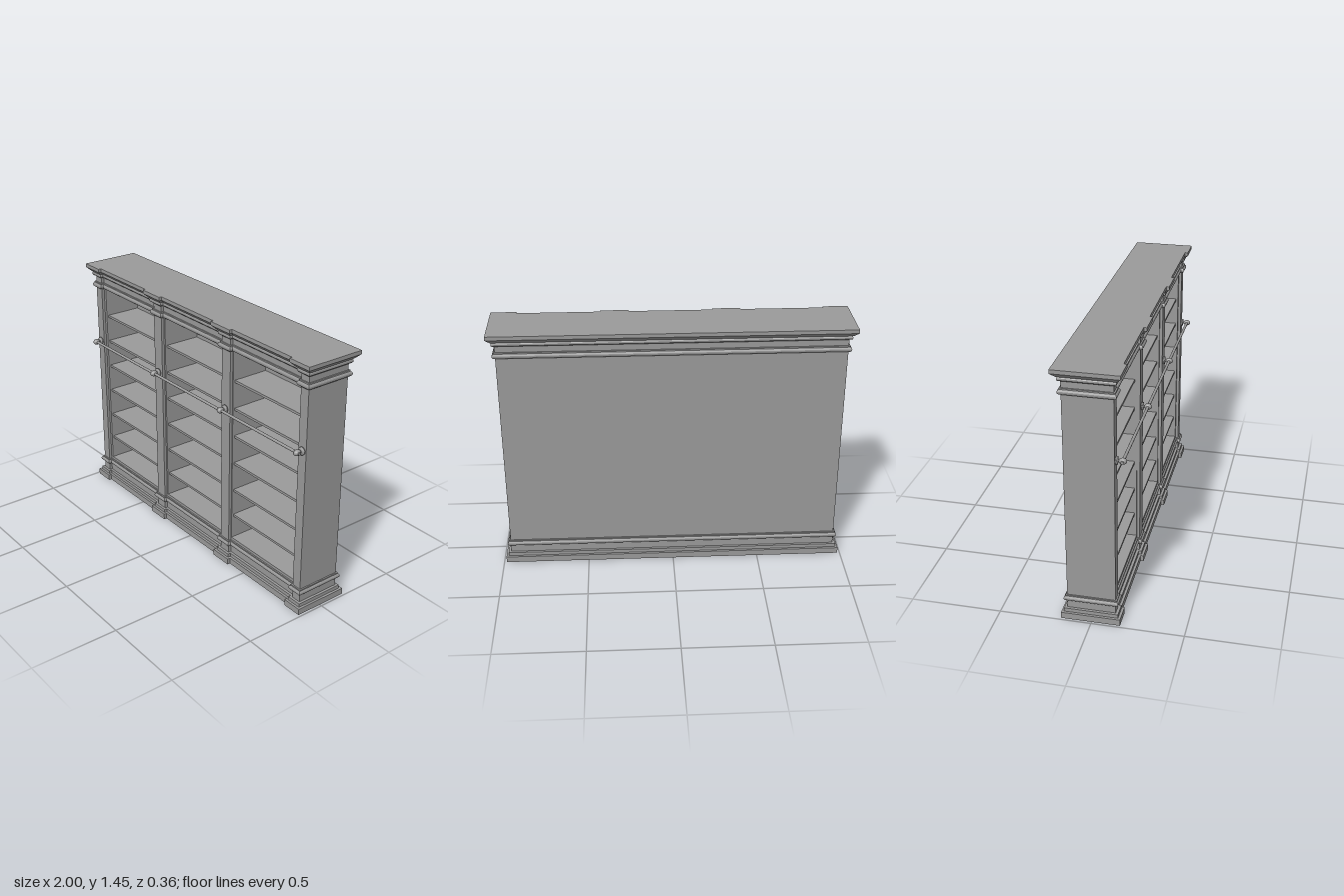
import * as THREE from 'three';

const material = new THREE.MeshStandardMaterial({ color: 0x9a9a9a, side: THREE.DoubleSide });

const HALF = 0.957, BACK = -0.137, FRONT = 0.125, RECESS = 0.108;
const BOTTOM = 0.155, TOP = 1.305;
const INNER_BACK = -0.118;
// Front pilasters as [x start, x end]
const PILASTERS = [[-HALF, -0.9], [-0.349, -0.277], [0.277, 0.349], [0.9, HALF]];

// Plan outline (x, -z), counter-clockwise from above, stepping out at each pilaster
function planOutline() {
  const pts = [];
  PILASTERS.forEach(([a, b], i) => {
    if (i > 0) pts.push([a, -RECESS]);
    pts.push([a, -FRONT], [b, -FRONT]);
    if (i < PILASTERS.length - 1) pts.push([b, -RECESS]);
  });
  pts.push([HALF, -BACK], [-HALF, -BACK]);
  return pts.map(([x, y]) => new THREE.Vector2(x, y));
}

// Moves every right-angled corner outward by d
function offsetOutline(pts, d) {
  const normal = (a, b) => {
    const e = b.clone().sub(a).normalize();
    return new THREE.Vector2(e.y, -e.x);
  };
  return pts.map((p, i) => {
    const prev = pts[(i + pts.length - 1) % pts.length];
    const next = pts[(i + 1) % pts.length];
    return p.clone().addScaledVector(normal(prev, p), d).addScaledVector(normal(p, next), d);
  });
}

// Solid whose moulded profile of [offset, height] follows the plan outline
function mouldedSolid(profile) {
  const base = planOutline();
  const rings = profile.map(([d, y]) =>
    offsetOutline(base, d).map((p) => new THREE.Vector3(p.x, y, -p.y)));
  const pos = [];
  const tri = (...v) => v.forEach((p) => pos.push(p.x, p.y, p.z));
  const n = base.length;
  for (let k = 0; k < rings.length - 1; k++) {
    const lo = rings[k], hi = rings[k + 1];
    for (let i = 0; i < n; i++) {
      const j = (i + 1) % n;
      tri(lo[i], lo[j], hi[j]);
      tri(lo[i], hi[j], hi[i]);
    }
  }
  const cap = (ring, up) => {
    const flat = ring.map((p) => new THREE.Vector2(p.x, -p.z));
    for (const [a, b, c] of THREE.ShapeUtils.triangulateShape(flat, [])) {
      if (up) tri(ring[a], ring[b], ring[c]);
      else tri(ring[a], ring[c], ring[b]);
    }
  };
  cap(rings[0], false);
  cap(rings[rings.length - 1], true);
  const g = new THREE.BufferGeometry();
  g.setAttribute('position', new THREE.Float32BufferAttribute(pos, 3));
  g.computeVertexNormals();
  return g;
}

// Bead starting at height y: sloped underside, flat nose, rounded shoulder and fillet
function bead(y) {
  return [[0, y], [0.008, y], [0.014, y + 0.006], [0.016, y + 0.012], [0.016, y + 0.018],
    [0.013, y + 0.024], [0.008, y + 0.027], [0.008, y + 0.034], [0, y + 0.034]];
}

export function createModel() {
  const model = new THREE.Group();
  model.name = 'bookcase';

  const add = (name, geometry, parent = model) => {
    const mesh = new THREE.Mesh(geometry, material);
    mesh.name = name;
    parent.add(mesh);
    return mesh;
  };
  const box = (name, x0, x1, y0, y1, z0, z1, parent) => {
    const mesh = add(name, new THREE.BoxGeometry(x1 - x0, y1 - y0, z1 - z0), parent);
    mesh.position.set((x0 + x1) / 2, (y0 + y1) / 2, (z0 + z1) / 2);
    return mesh;
  };

  // Plinth with two steps and a bead
  add('plinth', mouldedSolid([
    [0.029, 0], [0.029, 0.036], [0.015, 0.036], [0.015, 0.057], [0, 0.057],
    ...bead(0.104), [0, BOTTOM],
  ]));

  // Entablature: bead, frieze, small moulding, flared cornice and top slab
  add('cornice', mouldedSolid([
    [0, TOP], ...bead(1.308), [0, 1.38],
    [0.01, 1.38], [0.016, 1.386], [0.016, 1.396], [0.011, 1.404],
    [0.018, 1.404], [0.043, 1.429], [0.043, 1.45],
  ]));

  // Carcass: back, end walls, dividers
  box('backPanel', -0.882, 0.882, BOTTOM, TOP, BACK, INNER_BACK);
  for (const s of [-1, 1]) {
    const wall = box('endWall', 0.882, HALF, BOTTOM, TOP, BACK, RECESS);
    const divider = box('divider', 0.266, 0.354, BOTTOM, TOP, INNER_BACK, RECESS);
    wall.position.x *= s;
    divider.position.x *= s;
  }
  for (const [a, b] of PILASTERS) box('pilaster', a, b, BOTTOM, TOP, RECESS, FRONT);

  // Shelves in the three bays
  const bays = [[-0.882, -0.354], [-0.266, 0.266], [0.354, 0.882]];
  const shelves = new THREE.Group();
  shelves.name = 'shelves';
  model.add(shelves);
  for (const [a, b] of bays) {
    for (const y of [0.297, 0.459, 0.63, 0.797, 0.963, 1.128]) {
      box('shelf', a, b, y - 0.007, y + 0.007, INNER_BACK, 0.096, shelves);
    }
  }

  // Ladder rail carried by a turned bracket on every pilaster
  const railY = 0.961, railZ = 0.161;
  const rail = add('rail', new THREE.CylinderGeometry(0.008, 0.008, 1.9, 16));
  rail.rotation.z = Math.PI / 2;
  rail.position.set(0, railY, railZ);

  const stem = [[0, 0], [0.022, 0], [0.022, 0.01], [0.007, 0.011],
    [0.006, 0.017], [0.01, 0.02], [0.01, 0.026]].map(([r, h]) => new THREE.Vector2(r, h));
  for (const x of [-0.93, -0.312, 0.312, 0.93]) {
    const bracket = new THREE.Group();
    bracket.name = 'railBracket';
    bracket.position.set(x, railY, FRONT);
    const post = add('bracketPost', new THREE.LatheGeometry(stem, 20), bracket);
    post.rotation.x = Math.PI / 2;
    const knob = add('bracketKnob', new THREE.SphereGeometry(0.017, 20, 14), bracket);
    knob.scale.z = 1.25;
    knob.position.z = railZ - FRONT;
    model.add(bracket);
  }
  return model;
}
